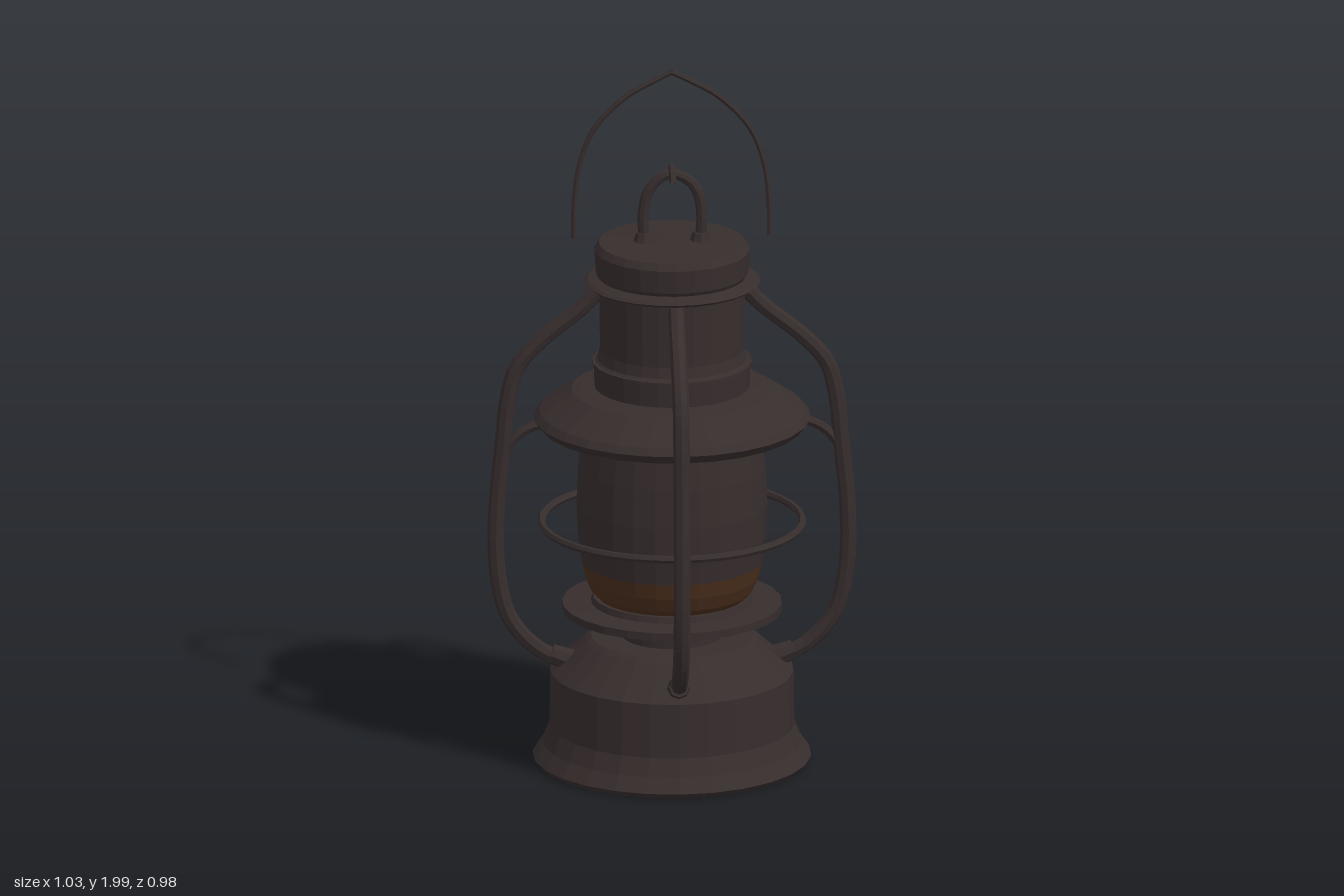
import * as THREE from 'three';

export function createModel() {
  const root = new THREE.Group();
  const mat = (name, color) => {
    const m = new THREE.MeshStandardMaterial({ color, flatShading: true, side: THREE.DoubleSide });
    m.name = name;
    return m;
  };
  const metal = mat('dark metal', 0x372d2d);
  const amber = mat('amber glass', 0x4a2e1c);

  const add = (name, geometry, material = metal, parent = root) => {
    const mesh = new THREE.Mesh(geometry, material);
    mesh.name = name;
    parent.add(mesh);
    return mesh;
  };
  const v2 = (list) => list.map(([x, y]) => new THREE.Vector2(x, y));
  const lathe = (name, pts, material) => add(name, new THREE.LatheGeometry(v2(pts), 26), material);
  const tube = (name, pts, r, steps, parent, sides = 8) => {
    const curve = new THREE.CatmullRomCurve3(pts.map(([x, y, z = 0]) => new THREE.Vector3(x, y, z)));
    return add(name, new THREE.TubeGeometry(curve, steps, r, sides), metal, parent);
  };

  // Fuel tank with flared foot, sloped shoulder and burner collar
  lathe('fuelTank', [[0, 0.005], [0.375, 0.005], [0.387, 0.02], [0.36, 0.06], [0.34, 0.11],
    [0.338, 0.265], [0.31, 0.29], [0.24, 0.355], [0.225, 0.365], [0, 0.365]]);
  lathe('burnerCollar', [[0.14, 0.36], [0.14, 0.45]]);
  lathe('burnerPlate', [[0, 0.44], [0.305, 0.44], [0.305, 0.462], [0.225, 0.465], [0.22, 0.482], [0, 0.482]]);

  // Globe: amber lower band, dark upper part
  lathe('globeLower', [[0.2, 0.475], [0.225, 0.5], [0.242, 0.54], [0.252, 0.585]], amber);
  lathe('globeUpper', [[0.252, 0.585], [0.262, 0.66], [0.265, 0.75], [0.26, 0.86], [0.25, 0.95], [0.243, 1.0]]);
  const ring = add('guardRing', new THREE.TorusGeometry(0.362, 0.011, 6, 36));
  ring.rotation.x = Math.PI / 2;
  ring.position.y = 0.695;

  // Hood, stepped chimney and cap
  lathe('hood', [[0.24, 0.99], [0.34, 0.97], [0.365, 0.975], [0.385, 1.0], [0.37, 1.02],
    [0.28, 1.08], [0.255, 1.085], [0.215, 1.09]]);
  lathe('chimney', [[0.215, 1.08], [0.218, 1.16], [0.207, 1.17], [0.2, 1.2], [0.203, 1.4]]);
  lathe('chimneyBand', [[0.2, 1.153], [0.222, 1.155], [0.222, 1.163], [0.2, 1.166]]);
  lathe('capLip', [[0.19, 1.385], [0.235, 1.387], [0.245, 1.395], [0.235, 1.402], [0.205, 1.41]]);
  lathe('cap', [[0.2, 1.4], [0.212, 1.42], [0.216, 1.485], [0.203, 1.505], [0, 1.508]]);

  // Four air tubes around the lantern, the front and back pair a little closer
  const arm = [[0.19, 1.385], [0.25, 1.32], [0.36, 1.23], [0.43, 1.15], [0.457, 1.05], [0.468, 0.94],
    [0.488, 0.72], [0.485, 0.56], [0.455, 0.43], [0.4, 0.355], [0.345, 0.315], [0.28, 0.3]];
  for (let i = 0; i < 4; i++) {
    const group = new THREE.Group();
    group.name = 'airTube' + (i + 1);
    group.rotation.y = i * Math.PI / 2;
    const s = i % 2 ? 0.955 : 1;
    tube('tube', arm.map(([x, y]) => [x * s, y]), 0.023, 40, group);
    // Socket where the tube meets the shoulder
    const socket = add('socket', new THREE.CylinderGeometry(0.028, 0.034, 0.07, 8), metal, group);
    socket.position.set(0.305, 0.303, 0);
    socket.rotation.z = -1.2;
    // Brace from the hood edge to each side tube
    if (!(i % 2)) tube('brace', [[0.34, 0.985], [0.39, 0.975], [0.43, 0.95], [0.465, 0.905]], 0.014, 8, group, 6);
    root.add(group);
  }

  // Lifting loop on the cap with its feet and crossing hook
  const z = -0.01;
  tube('capLoop', [[-0.075, 1.5, z], [-0.08, 1.58, z], [-0.065, 1.65, z], [-0.03, 1.69, z], [0, 1.7, z],
    [0.04, 1.685, z], [0.07, 1.65, z], [0.083, 1.58, z], [0.078, 1.5, z]], 0.015, 28);
  for (const x of [-0.077, 0.08]) {
    const foot = add('loopFoot', new THREE.CylinderGeometry(0.022, 0.03, 0.025, 8));
    foot.position.set(x, 1.518, z);
  }
  tube('loopHook', [[0, 1.685, 0.03], [0, 1.712, 0.012], [0, 1.718, -0.012], [0, 1.705, -0.03], [0, 1.68, -0.042]],
    0.01, 12, root, 6);

  // Wire bail, pointed at the top
  const b = -0.02;
  const side = [[0.272, 1.515], [0.27, 1.62], [0.255, 1.73], [0.215, 1.83], [0.13, 1.92], [0.05, 1.967], [0, 1.992]];
  for (const s of [-1, 1]) tube('bail', side.map(([x, y]) => [x * s, y, b]), 0.008, 24, root, 6);

  return root;
}
